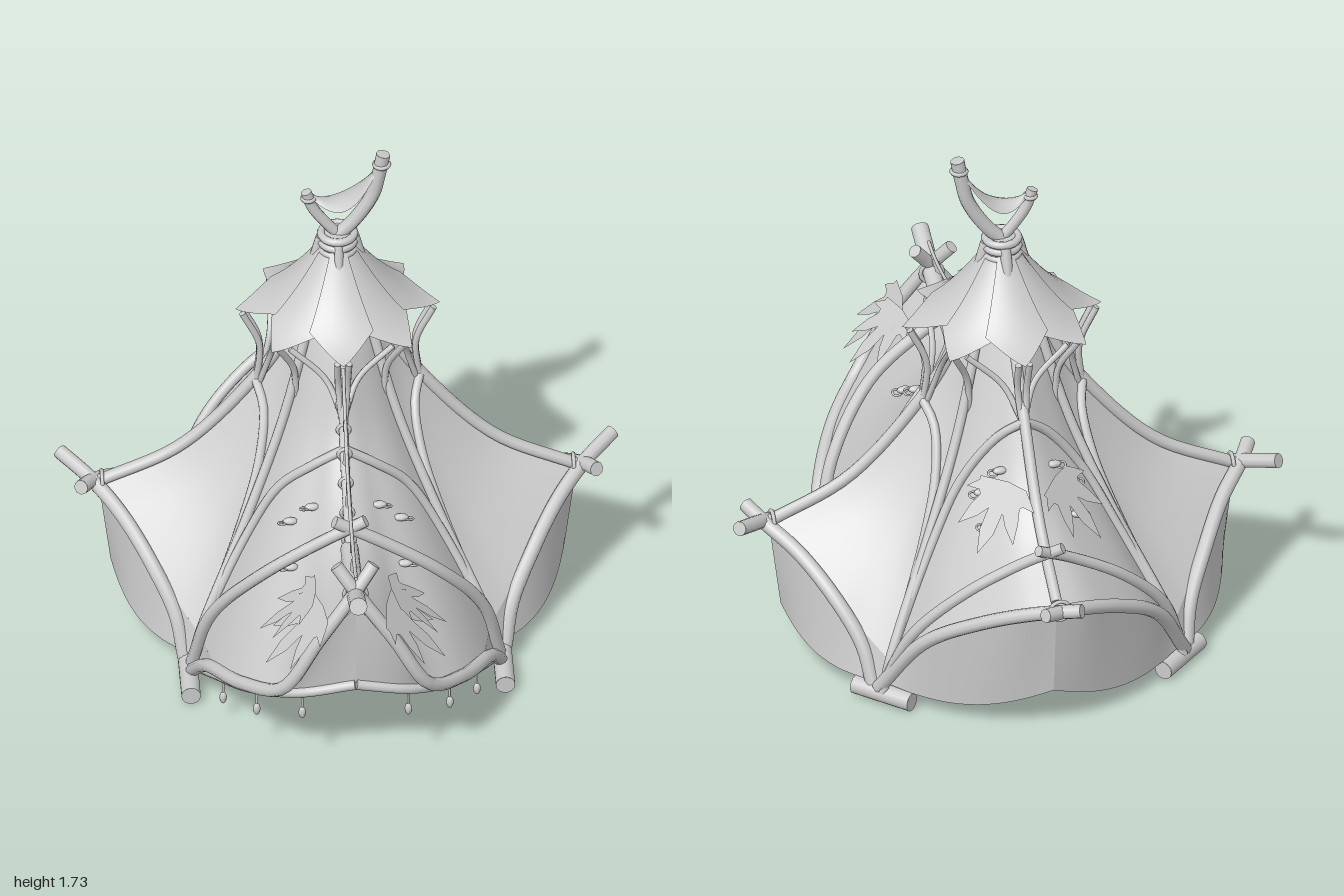
import * as THREE from 'three';

const CZ = -0.13; // depth of the tent's axis; helper depths are measured from it
const V = (x, y, d) => new THREE.Vector3(x, y, CZ + d);
const curve = (pts) => new THREE.CatmullRomCurve3(pts);
const mat = new THREE.MeshStandardMaterial({ color: 0xcccccc });
const thin = new THREE.MeshStandardMaterial({ color: 0xcccccc, side: THREE.DoubleSide });

// Profiles from apex to rim: [distance from axis, height]
const SIDE = [[.05, 1.4], [.11, 1.18], [.17, 1.0], [.27, .84], [.5, .59], [.76, .46]];
const BACK = [[.05, 1.4], [.13, 1.18], [.21, 1.05], [.32, .9], [.51, .66], [.75, .5]];
const FRONT = [[.05, 1.4], [.13, 1.18], [.24, 1.03], [.37, .81], [.65, .65], [.99, .68]];
const VALLEY = [[.04, 1.4], [.08, 1.18], [.115, 1.03], [.18, .8], [.3, .5], [.46, .15]];
const SKEW = .9; // valley depth relative to its x
// Rims from corner to foot: [x, y, depth]
const RIM_SIDE = [[.76, .46, 0], [.68, .4, .11], [.595, .3, .235], [.52, .21, .33], [.46, .15, .414]];
const RIM_BACK = [[0, .5, .75], [.1, .47, .73], [.22, .4, .65], [.37, .28, .53], [.46, .15, .414]];
const RIM_FRONT = [[0, .68, .99], [.12, .55, 1.0], [.23, .37, .98], [.35, .28, .84], [.42, .21, .66], [.46, .15, .414]];
// Raised lower edge of the doorway, from centre to foot
const DOOR_EDGE = [[0, .37, .985], [.18, .32, .95], [.33, .25, .82], [.42, .16, .63], [.47, .08, .48]];

export function createModel() {
  const model = new THREE.Group();
  const add = (name, geo, m = mat, parent = model) => {
    const mesh = new THREE.Mesh(geo, m);
    mesh.name = name;
    parent.add(mesh);
    return mesh;
  };

  // Round branch along a path, closed at both ends
  function pole(name, pts, r, sides = 9) {
    const c = curve(pts);
    const g = new THREE.Group();
    g.name = name;
    add(name + 'Shaft', new THREE.TubeGeometry(c, 28, r, sides), mat, g);
    for (const t of [0, 1]) {
      const cap = add(name + 'End', new THREE.CircleGeometry(r, sides), mat, g);
      const p = c.getPointAt(t);
      cap.position.copy(p);
      cap.lookAt(p.clone().addScaledVector(c.getTangentAt(t), t ? 1 : -1));
    }
    model.add(g);
    return c;
  }

  // Sheet from a function f(u, v) -> Vector3
  function sheet(name, f, nu, nv) {
    const g = new THREE.PlaneGeometry(1, 1, nu, nv);
    const uv = g.attributes.uv, p = g.attributes.position;
    for (let i = 0; i < p.count; i++) {
      const q = f(uv.getX(i), 1 - uv.getY(i));
      p.setXYZ(i, q.x, q.y, q.z);
    }
    g.computeVertexNormals();
    return add(name, g, thin);
  }

  // Many-pointed leaf hanging down from its origin
  function leaf(name, pos, normal, size) {
    const s = new THREE.Shape();
    s.moveTo(0, 0);
    [-1.15, -.55, 0, .55, 1.15].forEach((a, i) => {
      const len = size * [.6, .85, 1, .85, .6][i];
      const at = (r, b) => s.lineTo(Math.sin(b) * r, -Math.cos(b) * r);
      at(size * .42, a - .28);
      at(len * .7, a - .16);
      at(len, a);
      at(len * .7, a + .16);
    });
    s.lineTo(size * .3, -size * .02);
    const m = add(name, new THREE.ShapeGeometry(s), thin);
    m.position.copy(pos);
    m.lookAt(pos.clone().add(normal));
  }

  const lashing = (name, pos, r) => {
    const m = add(name, new THREE.TorusGeometry(r, .007, 6, 14));
    m.position.copy(pos);
    return m;
  };

  // Ridge poles
  const lift = .012;
  for (const sx of [1, -1]) pole('sideRidgePole', SIDE.map(([r, y]) => V(sx * r, y + lift, 0)), .02);
  pole('backRidgePole', BACK.map(([r, y]) => V(0, y + lift, -r)), .018);
  pole('frontRidgePole', FRONT.slice(0, 5).map(([r, y]) => V(0, y + lift, r)), .015);
  pole('frontRidgeLog', [V(0, .65, .64), V(0, .665, .77), V(0, .7, .93), V(0, .78, 1.12)], .029, 12);

  for (const sx of [1, -1]) for (const sz of [1, -1]) {
    const valley = curve(VALLEY.map(([x, y]) => V(sx * x, y, sz * x * SKEW)));
    const endProfile = sz > 0 ? FRONT : BACK, endRim = sz > 0 ? RIM_FRONT : RIM_BACK;
    const panels = [
      { name: 'side', ridge: curve(SIDE.map(([r, y]) => V(sx * r, y, 0))), rim: RIM_SIDE },
      { name: sz > 0 ? 'front' : 'back', ridge: curve(endProfile.map(([r, y]) => V(0, y, sz * r))), rim: endRim },
    ];
    for (const { name, ridge, rim } of panels) {
      const edge = curve(rim.map(([x, y, d]) => V(sx * x, y, sz * d)));
      const r1 = ridge.getPoint(1), v1 = valley.getPoint(1);
      // Cloth stretched between ridge, valley and rim
      const cloth = (s, t) => {
        const p = ridge.getPoint(t).lerp(valley.getPoint(t), s);
        const fix = edge.getPoint(s).sub(r1.clone().lerp(v1, s));
        p.addScaledVector(fix, t * t * t);
        p.y -= .03 * Math.sin(Math.PI * s) * t * (1 - t);
        return p;
      };
      sheet(name + 'Cloth', cloth, 16, 28);

      // Curtain hanging below the rim, lifted at the doorway
      const corner = V(r1.x * .95, .16, (r1.z - CZ) * .95), foot = V(sx * .48, .08, sz * .42);
      const doorEdge = curve(DOOR_EDGE.map(([x, y, d]) => V(sx * x, y, d)));
      const hem = (s) => {
        if (name === 'front') return doorEdge.getPoint(s);
        const b = corner.clone().lerp(foot, s), k = Math.sin(Math.PI * s);
        b.x *= 1 + .06 * k;
        b.z = CZ + (b.z - CZ) * (1 + .06 * k);
        b.y -= .045 * k;
        return b;
      };
      sheet(name + 'Curtain', (s, v) => edge.getPoint(s).lerp(hem(s), v), 18, 6);

      // Arched spar running from foot over the cloth to the ridge
      const arc = [[1, .97], [.95, .82], [.8, .7], [.45, .62], [0, .59]].map(([s, t]) => {
        const p = cloth(s, t);
        p.y += .015;
        return p;
      });
      pole(name + 'ArchSpar', [V(sx * .49, .06, sz * .43), ...arc], .015);

      // Toggles and leaf patch on the end panels
      if (name !== 'side') {
        for (const [s, t] of [[.4, .69], [.58, .73], [.5, .8]]) {
          const p = cloth(s, t);
          const tog = add('toggle', new THREE.SphereGeometry(.014, 8, 6));
          tog.scale.set(1.8, .9, 1);
          tog.position.set(p.x, p.y + .012, p.z);
          const loop = add('toggleLoop', new THREE.TorusGeometry(.014, .004, 5, 10));
          loop.position.set(p.x + sx * .025, p.y + .005, p.z);
          loop.rotation.x = Math.PI / 2.6;
        }
      }
      if (name === 'back') {
        const p = cloth(.25, .72);
        leaf('clothLeaf', p.add(new THREE.Vector3(sx * .02, .03, -.01)), new THREE.Vector3(sx * .7, .75, -.55), .25);
      }
    }

    // Valley pole and foot log
    pole('valleyPole', [...VALLEY.slice(1).map(([x, y]) => V(sx * (x + .006), y + .012, sz * (x * SKEW + .006))), V(sx * .49, .05, sz * .43)], .016);
    const log = sz > 0 ? [V(sx * .5, .04, .33), V(sx * .5, .04, .58)] : [V(sx * .56, .04, -.34), V(sx * .41, .04, -.49)];
    pole('footLog', log, .031, 14);

    // Curved pole from foot past the side corner
    const far = sz > 0 ? [.88, .52, -.1] : [.82, .5, -.07];
    pole('sideCornerPole', [[.51, .05, .385], [.535, .18, .33], [.605, .31, .235], [.69, .41, .11], [.78, .475, 0], far]
      .map(([x, y, d]) => V(sx * x, y, sz * d)), .024);

    // Struts holding up the leaf roof
    const tip = (a, r, y) => V(sx * r * Math.cos(a), y, sz * r * Math.sin(a));
    const q = Math.PI / 4;
    pole('roofStrut', [tip(q, .2, .87), tip(q, .21, 1.0), tip(q, .285, 1.125)], .011, 7);
    pole('roofStrut', [tip(.05, .25, .85), tip(.25, .22, 1.0), tip(q * .85, .265, 1.125)], .01, 7);
    pole('roofStrut', [tip(.03, .26, .85), tip(.06, .25, 1.0), tip(.06, .305, 1.13)], .011, 7);
    pole('roofStrut', [tip(1.55, .29, .92), tip(1.35, .24, 1.02), tip(q * 1.15, .265, 1.125)], .01, 7);
    pole('roofStrut', [tip(1.55, .3, .92), tip(1.52, .28, 1.02), tip(1.51, .305, 1.13)], .011, 7);
  }

  for (const sx of [1, -1]) {
    const path = (pts) => pts.map(([x, y, d]) => V(sx * x, y, d));
    // Front doorway arch and the lower pole with hanging beads
    pole('frontArchPole', path([[.49, .07, .48], [.45, .19, .62], [.35, .28, .84], [.23, .37, .99], [.12, .56, 1.005], [0, .73, .975], [-.06, .81, .94]]), .022);
    const hem = pole('frontLowerPole', path(DOOR_EDGE), .018);
    for (const t of [.22, .45, .72]) {
      const p = hem.getPointAt(t);
      pole('beadString', [p, p.clone().add(new THREE.Vector3(0, -.08, 0))], .004, 5);
      const bead = add('bead', new THREE.SphereGeometry(.012, 8, 6));
      bead.scale.y = 1.9;
      bead.position.set(p.x, p.y - .08, p.z);
    }
    // Crossing spars over the front and back ridges, and the back corner poles
    pole('frontCrossSpar', path([[.49, .07, .44], [.43, .33, .53], [.28, .55, .63], [.1, .69, .66], [-.05, .78, .67]]), .02);
    pole('backCrossSpar', path([[.49, .07, -.42], [.41, .3, -.5], [.26, .47, -.57], [.08, .59, -.62], [-.04, .66, -.67]]), .018);
    pole('backCornerPole', path([[.5, .06, -.41], [.38, .29, -.54], [.23, .41, -.66], [.07, .49, -.77], [-.06, .53, -.85]]), .023);
    // Leaves beside the doorway
    leaf('doorLeaf', V(sx * .1, .65, .94), new THREE.Vector3(sx * .7, .7, .12), .27);
    leaf('doorLeaf', V(sx * .12, .65, .86), new THREE.Vector3(sx * .7, .8, -.1), .24);
  }

  // Corner and crossing lashings
  for (const sx of [1, -1]) lashing('sideLashing', V(sx * .75, .47, 0), .034).rotation.y = Math.PI / 2;
  lashing('backLashing', V(0, .51, -.8), .034);
  lashing('frontLashing', V(0, .71, .96), .036);

  // Stitches along the front ridge
  const ridge = curve(FRONT.map(([r, y]) => V(0, y + lift, r)));
  for (let t = .42; t < .8; t += .06) lashing('ridgeStitch', ridge.getPoint(t), .019);

  // Leaf roof: eight pointed petals, the four straight ones over the diagonal ones
  const roofY = (r) => 1.122 + .25 * Math.pow(Math.max(0, (.335 - r) / .275), 1.7);
  for (let i = 0; i < 8; i++) {
    const a = i * Math.PI / 4, upper = i % 2 === 0;
    const reach = upper ? .325 : .315, raise = upper ? .012 : 0;
    sheet('roofPetal', (u, v) => {
      const r = .055 + (reach - .055) * v, side = u * 2 - 1;
      const w = v < .55 ? r * .5 : .102 * Math.pow((1 - v) / .45, .9);
      const x = side * w;
      return V(r * Math.sin(a) + x * Math.cos(a), roofY(Math.hypot(r, x)) + raise, r * Math.cos(a) - x * Math.sin(a));
    }, 6, 20);
  }

  // Collar, wrapped rope and forked finial
  const collar = add('collar', new THREE.CylinderGeometry(.055, .06, .1, 20));
  collar.position.copy(V(0, 1.38, 0));
  [1.37, 1.397, 1.424].forEach((y) => {
    const ring = add('collarRope', new THREE.TorusGeometry(.053, .013, 8, 24));
    ring.position.copy(V(0, y, 0));
    ring.rotation.x = Math.PI / 2;
  });
  pole('tallFinialBranch', [V(-.02, 1.4, 0), V(.05, 1.47, 0), V(.11, 1.57, 0), V(.13, 1.65, 0), V(.145, 1.73, 0)], .023);
  pole('shortFinialBranch', [V(.02, 1.4, 0), V(-.04, 1.47, 0), V(-.08, 1.53, 0), V(-.1, 1.59, 0)], .018);
  for (const [x, y, r] of [[.14, 1.69, .024], [-.093, 1.565, .019]]) lashing('finialRope', V(x, y, 0), r).rotation.x = Math.PI / 2;

  // Leaf-shaped banner slung between the branches
  sheet('banner', (u, v) => {
    const w = .055 * Math.sin(Math.PI * v), s = u * 2 - 1;
    return V(-.09 + .23 * v, 1.57 + .12 * v * v - .05 * Math.sin(Math.PI * v) + .015 * (1 - s * s), s * w);
  }, 6, 14);

  // Bunting from the roof to the doorway
  const rope = pole('buntingRope', [V(0, 1.12, .31), V(0, 1.0, .4), V(0, .87, .55), V(0, .805, .74), V(0, .79, .92), V(0, .8, 1.0)], .006, 6);
  [.2, .35, .45, .53, .74, .88].forEach((t, i) => {
    const s = new THREE.Shape([[-.02, 0], [.02, 0], [.014, -.05], [-.012, -.042]].map(([x, y]) => new THREE.Vector2(x, y)));
    const flag = add('buntingFlag', new THREE.ShapeGeometry(s), thin);
    flag.position.copy(rope.getPointAt(t));
    flag.rotation.set(0, Math.PI / 2 + (i % 2 ? .5 : -.4), i % 2 ? .25 : -.2);
  });
  return model;
}
